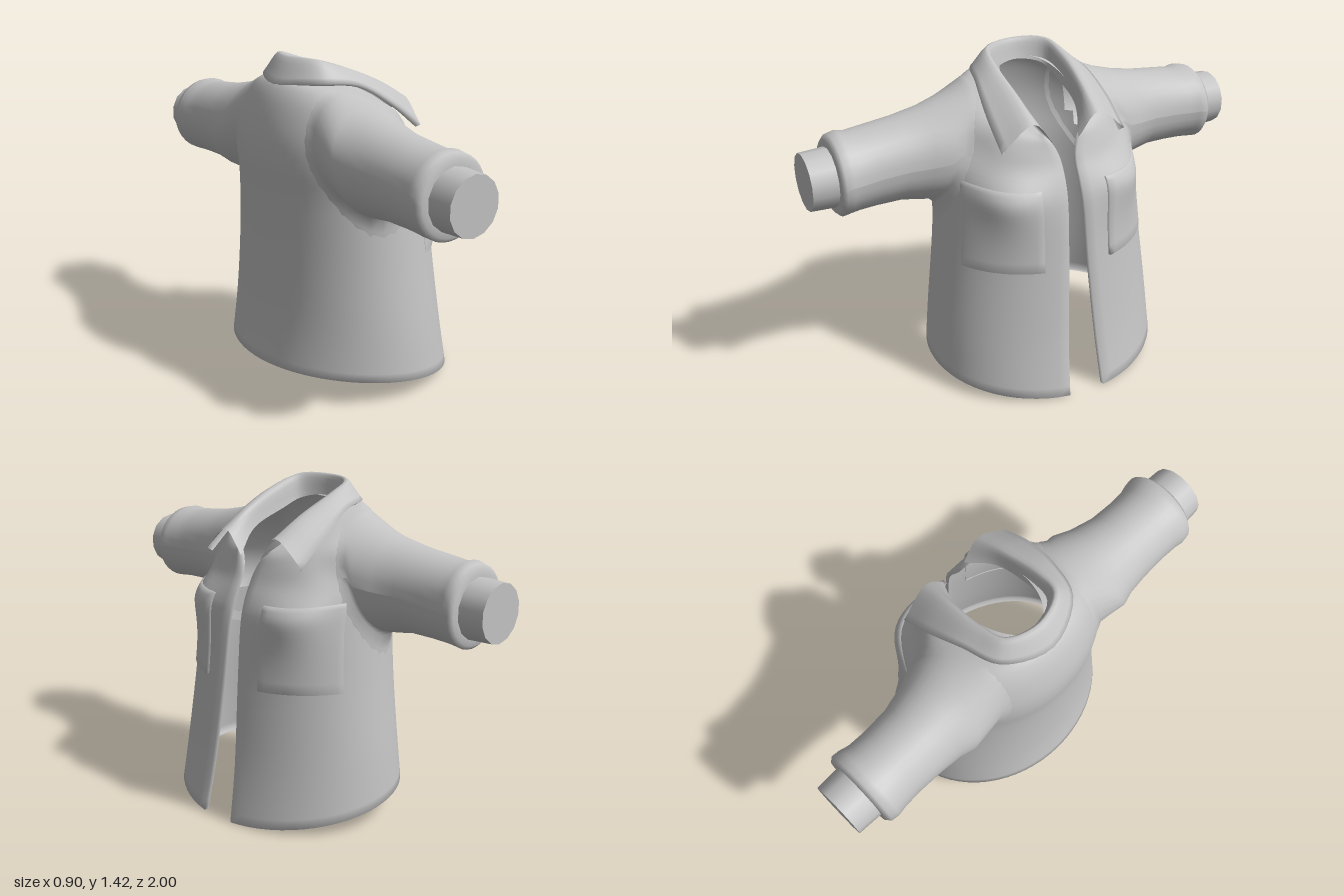
import * as THREE from 'three';

const fabric = new THREE.MeshStandardMaterial({ color: 0xc4c4c4, side: THREE.DoubleSide });
fabric.name = 'greyFabric';

// Smooth surface through a grid of points; cells for which skip(i, j) holds stay open
function gridMesh(name, rows, skip = () => false) {
  const n = rows[0].length, index = [];
  for (let i = 0; i < rows.length - 1; i++)
    for (let j = 0; j < n - 1; j++) {
      if (skip(i, j)) continue;
      const a = i * n + j, b = a + n;
      index.push(a, b, a + 1, b, b + 1, a + 1);
    }
  const geo = new THREE.BufferGeometry();
  geo.setAttribute('position', new THREE.Float32BufferAttribute(rows.flat().flatMap(p => [p.x, p.y, p.z]), 3));
  geo.setIndex(index);
  geo.computeVertexNormals();
  const mesh = new THREE.Mesh(geo, fabric);
  mesh.name = name;
  return mesh;
}

// Body sections: back y, front y, back x, front x, half width, half opening
const LEVELS = [
  [0.12, 0.0, -0.45, 0.45, 0.54, 0.085],
  [0.33, 0.25, -0.42, 0.405, 0.52, 0.07],
  [0.6, 0.58, -0.405, 0.365, 0.485, 0.05],
  [0.85, 0.83, -0.405, 0.335, 0.46, 0.04],
  [1.0, 0.95, -0.415, 0.305, 0.45, 0.035],
  [1.12, 1.03, -0.405, 0.27, 0.43, 0.035],
  [1.24, 1.08, -0.37, 0.25, 0.385, 0.045],
  [1.31, 1.12, -0.33, 0.235, 0.31, 0.065],
  [1.33, 1.14, -0.29, 0.225, 0.21, 0.085],
  [1.34, 1.15, -0.24, 0.22, 0.14, 0.09],
];

// Armhole ellipse on the body: centre and radius in level and angle
const HOLE = { v: 5, th: 1.8, rv: 2.2, rt: 0.65 };

// Catmull-Rom blend of the section numbers
function section(v) {
  const last = LEVELS.length - 1, i = Math.min(Math.floor(v), last - 1), t = v - i;
  const L = k => LEVELS[Math.max(0, Math.min(last, k))];
  return LEVELS[0].map((_, k) => {
    const a = L(i - 1)[k], b = L(i)[k], c = L(i + 1)[k], d = L(i + 2)[k];
    return b + 0.5 * t * (c - a + t * (2 * a - 5 * b + 4 * c - d + t * (3 * (b - c) + d - a)));
  });
}

// Point on the body: v = level, th = angle from the front, out = offset outwards
function bodyPoint(v, th, out = 0) {
  const [yB, yF, xB, xF, w, gap] = section(v);
  const f = (1 + Math.cos(th)) / (1 + Math.cos(Math.asin(gap / w)));
  const side = Math.min(th, 2 * Math.PI - th);
  // full chest, and a hollow between it and the sleeve
  const bump = (t, dt, level, dv) => Math.exp(-(((side - t) / dt) ** 2) - ((v - level) / dv) ** 2);
  const push = out + 0.045 * bump(0.6, 0.32, 3.5, 0.8) - 0.02 * bump(1.0, 0.25, 5.5, 1);
  return new THREE.Vector3(
    xB + (xF - xB) * f + push * Math.cos(th),
    yB + (yF - yB) * Math.pow(f, 1.7),
    w * Math.sin(th) + push * Math.sin(th));
}

function makeBody() {
  const rows = [], cols = 64, perLevel = 4, steps = (LEVELS.length - 1) * perLevel;
  for (let i = -1; i <= steps; i++) {
    const v = Math.max(0, i) / perLevel, s = section(v), t0 = Math.asin(s[5] / s[4]);
    const row = [];
    // the first and last columns and the first row fold inwards as a lip
    for (let j = -1; j <= cols + 1; j++) {
      const u = Math.max(0, Math.min(cols, j)) / cols;
      const folded = i < 0 || j < 0 || j > cols;
      row.push(bodyPoint(v, t0 + u * (2 * Math.PI - 2 * t0), folded ? -0.02 : 0));
    }
    rows.push(row);
  }
  // leave the armholes open where the sleeves join
  const inArmhole = (i, j) => {
    const v = (i - 0.5) / perLevel, s = section(Math.max(0, v)), t0 = Math.asin(s[5] / s[4]);
    const th = t0 + (j - 0.5) / cols * (2 * Math.PI - 2 * t0);
    return Math.hypot((v - HOLE.v) / HOLE.rv, (Math.min(th, 2 * Math.PI - th) - HOLE.th) / HOLE.rt) < 0.92;
  };
  return gridMesh('jacketBody', rows, inArmhole);
}

// Patch pocket wrapped over the chest, fading into the body at its outer edge
function makePocket(side) {
  const rows = [], n = 12;
  for (let i = -1; i <= n + 1; i++) {
    const row = [];
    for (let j = -1; j <= n + 1; j++) {
      const a = Math.max(0, Math.min(n, i)) / n, b = Math.max(0, Math.min(n, j)) / n;
      const edge = i < 0 || j < 0 || i > n || j > n;
      const p = bodyPoint(2.05 + 1.95 * a, 0.33 + 0.83 * b, edge ? -0.004 : 0.012 - 0.009 * b);
      p.z *= side;
      row.push(p);
    }
    rows.push(row);
  }
  return gridMesh(side > 0 ? 'leftPocket' : 'rightPocket', rows);
}

// Sleeve rings: z, back x, front x, bottom y, top y, inward lean of the top
const RINGS = [
  [0.43, -0.345, 0.075, 0.825, 1.255, 0.28],
  [0.5, -0.325, 0.045, 0.828, 1.225, 0.15],
  [0.6, -0.315, 0.02, 0.84, 1.2, 0.05],
  [0.72, -0.31, 0.015, 0.84, 1.185, 0],
  [0.8, -0.313, 0.02, 0.838, 1.175, 0],
  [0.84, -0.32, 0.03, 0.835, 1.183, 0],
  [0.875, -0.315, 0.035, 0.832, 1.175, 0],
  [0.893, -0.295, 0.02, 0.85, 1.155, 0],
  [0.89, -0.25, -0.03, 0.89, 1.11, 0],
];

function makeSleeve(side) {
  const ring = point => Array.from({ length: 33 }, (_, j) => {
    const a = -side * j / 32 * 2 * Math.PI;
    const p = point(Math.cos(a), Math.sin(a));
    p.z *= side;
    return p;
  });
  // the seam rings lie on the body so that the sleeve flows out of it
  const seam = (size, out) => ring((c, s) =>
    bodyPoint(HOLE.v + HOLE.rv * size * s, HOLE.th - HOLE.rt * size * c, out));
  const rows = [seam(1.22, -0.006), seam(1.11, 0.003), seam(1, 0.008)];
  for (const [z, x0, x1, y0, y1, lean] of RINGS)
    rows.push(ring((c, s) => {
      const dy = s * (y1 - y0) / 2;
      return new THREE.Vector3((x0 + x1) / 2 + c * (x1 - x0) / 2, (y0 + y1) / 2 + dy, z - lean * dy);
    }));
  const group = new THREE.Group();
  group.name = side > 0 ? 'leftSleeve' : 'rightSleeve';
  const cuff = new THREE.Mesh(new THREE.CylinderGeometry(0.122, 0.128, 0.13, 14), fabric);
  cuff.name = 'cuff';
  cuff.rotation.x = side * Math.PI / 2;
  cuff.position.set(-0.14, 1.0, side * 0.935);
  group.add(gridMesh('sleeve', rows), cuff);
  return group;
}

// Turned-down collar: rails for the neck seam, the fold and the outer edge
function makeCollar() {
  const rails = [
    [[0.235, 1.12, 0.06], [0.1, 1.21, 0.12], [-0.08, 1.27, 0.13], [-0.18, 1.31, 0.11], [-0.22, 1.33, 0]],
    [[0.24, 1.22, 0.15], [0.1, 1.3, 0.155], [-0.08, 1.375, 0.16], [-0.2, 1.415, 0.135], [-0.25, 1.42, 0]],
    [[0.225, 1.115, 0.29], [0.08, 1.225, 0.285], [-0.08, 1.315, 0.255], [-0.24, 1.33, 0.2], [-0.33, 1.31, 0]],
  ].map(half => {
    const other = half.slice(0, -1).reverse().map(([x, y, z]) => [x, y, -z]);
    return new THREE.CatmullRomCurve3([...half, ...other].map(p => new THREE.Vector3(...p)));
  });
  const rows = [];
  for (let i = 0; i <= 40; i++) {
    const across = new THREE.CatmullRomCurve3(rails.map(r => r.getPoint(i / 40)));
    const row = [];
    for (let j = 0; j <= 10; j++) row.push(across.getPoint(j / 10));
    // short turned-under edge
    const tuck = row[10].clone();
    tuck.y -= 0.012;
    tuck.x *= 0.95;
    tuck.z *= 0.93;
    row.push(tuck);
    rows.push(row);
  }
  return gridMesh('collar', rows);
}

export function createModel() {
  const jacket = new THREE.Group();
  jacket.name = 'jacket';
  jacket.add(makeBody(), makeCollar());
  for (const side of [1, -1]) jacket.add(makeSleeve(side), makePocket(side));
  return jacket;
}
